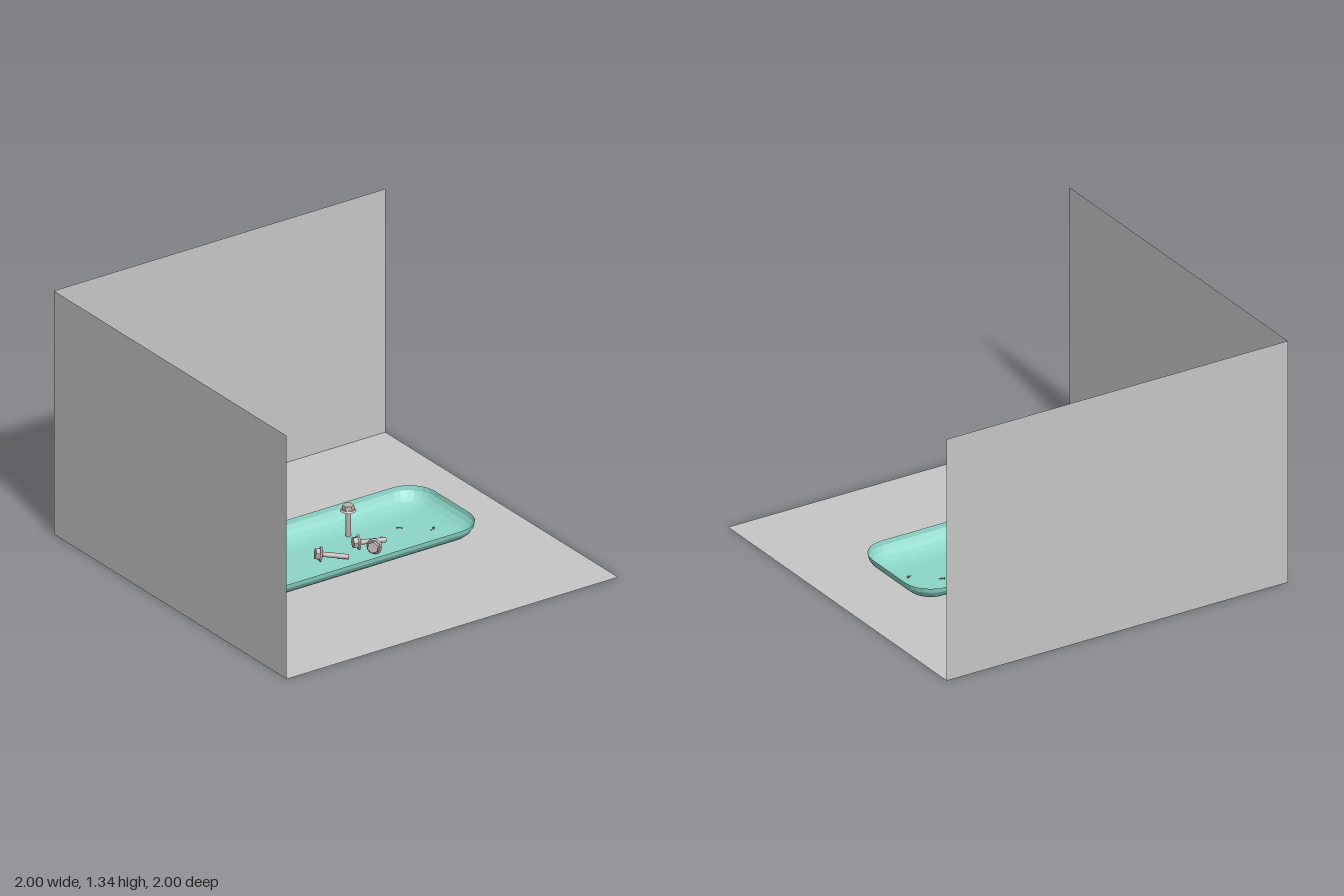
import * as THREE from 'three';

const grey = new THREE.MeshStandardMaterial({ color: 0xc6c6c6, side: THREE.DoubleSide });
grey.name = 'backdrop grey';
const mint = new THREE.MeshStandardMaterial({ color: 0x8cd6c8, side: THREE.DoubleSide, flatShading: true });
mint.name = 'tray mint';
const steel = new THREE.MeshStandardMaterial({ color: 0xbdb0b0 });
steel.name = 'bolt steel';

function add(parent, name, geometry, material) {
  const mesh = new THREE.Mesh(geometry, material);
  mesh.name = name;
  parent.add(mesh);
  return mesh;
}

// Shallow rounded tray: rounded-rectangle rings that follow a quarter ellipse
function trayGeometry() {
  const halfX = 0.55, halfZ = 0.15, radius = 0.15, base = 0.005, height = 0.095;
  const steps = 6, perCorner = 7, count = perCorner * 4;
  const positions = [], index = [];
  for (let k = 0; k <= steps; k++) {
    const phi = (k / steps) * Math.PI / 2;
    const r = radius * Math.sin(phi), y = base + height * (1 - Math.cos(phi));
    for (let c = 0; c < 4; c++) {
      const sx = c === 0 || c === 3 ? 1 : -1, sz = c < 2 ? 1 : -1;
      for (let i = 0; i < perCorner; i++) {
        const a = (c + i / (perCorner - 1)) * Math.PI / 2;
        positions.push(sx * halfX + r * Math.cos(a), y, sz * halfZ + r * Math.sin(a));
      }
    }
  }
  for (let k = 0; k < steps; k++) {
    for (let i = 0; i < count; i++) {
      const a = k * count + i, b = k * count + (i + 1) % count;
      index.push(a, a + count, b, b, a + count, b + count);
    }
  }
  // Flat bottom between the four corner centres
  const [p, q, r, s] = [0, 1, 2, 3].map((c) => c * perCorner);
  index.push(p, r, q, p, s, r);
  const geometry = new THREE.BufferGeometry();
  geometry.setAttribute('position', new THREE.Float32BufferAttribute(positions, 3));
  geometry.setIndex(index);
  const flat = geometry.toNonIndexed();
  flat.computeVertexNormals();
  return flat;
}

// Flanged hex bolt: tip at the origin, head towards +y
const shaftGeometry = new THREE.CylinderGeometry(0.013, 0.013, 0.14, 16).translate(0, 0.07, 0);
const flangeGeometry = new THREE.CylinderGeometry(0.033, 0.04, 0.009, 24).translate(0, 0.1435, 0);
const headGeometry = new THREE.CylinderGeometry(0.029, 0.032, 0.025, 6).toNonIndexed().translate(0, 0.1575, 0);
headGeometry.computeVertexNormals();

function bolt(name, tip, head, scale = 1) {
  const group = new THREE.Group();
  group.name = name;
  add(group, 'shaft', shaftGeometry, steel);
  add(group, 'flange', flangeGeometry, steel);
  add(group, 'hexHead', headGeometry, steel);
  const start = new THREE.Vector3(...tip);
  const axis = new THREE.Vector3(...head).sub(start).normalize();
  group.quaternion.setFromUnitVectors(new THREE.Vector3(0, 1, 0), axis);
  group.position.copy(start);
  group.scale.setScalar(scale);
  return group;
}

export function createModel() {
  const model = new THREE.Group();
  model.name = 'boltTrayDisplay';

  // Floor and two walls
  const wallHeight = 1.335;
  add(model, 'floor', new THREE.PlaneGeometry(2, 2).rotateX(-Math.PI / 2), grey);
  add(model, 'backWall', new THREE.PlaneGeometry(2, wallHeight), grey).position.set(0, wallHeight / 2, -1);
  add(model, 'sideWall', new THREE.PlaneGeometry(2, wallHeight).rotateY(Math.PI / 2), grey)
    .position.set(-1, wallHeight / 2, 0);

  add(model, 'tray', trayGeometry(), mint);

  // Standing bolt and three lying bolts
  model.add(
    bolt('standingBolt', [0.172, 0.005, -0.14], [0.172, 0.17, -0.14]),
    bolt('lyingBolt', [0.022, 0.018, 0.076], [-0.107, 0.044, 0.013]),
    bolt('crossedBoltUpper', [0.246, 0.05, 0.078], [0.105, 0.055, 0.03]),
    bolt('crossedBoltLower', [0.272, 0.018, 0.008], [0.158, 0.044, 0.1])
  );

  // Tiny scattered screws: x, z and heading
  const screws = [[-0.545, -0.1, 0.8], [-0.4, 0.015, 1.75], [0.425, -0.06, 2.55], [0.55, 0.045, 0.4]];
  screws.forEach(([x, z, a], i) => {
    const dx = Math.cos(a) * 0.014, dz = -Math.sin(a) * 0.014;
    model.add(bolt('smallScrew' + (i + 1), [x - dx, 0.009, z - dz], [x + dx, 0.012, z + dz], 0.17));
  });
  return model;
}
